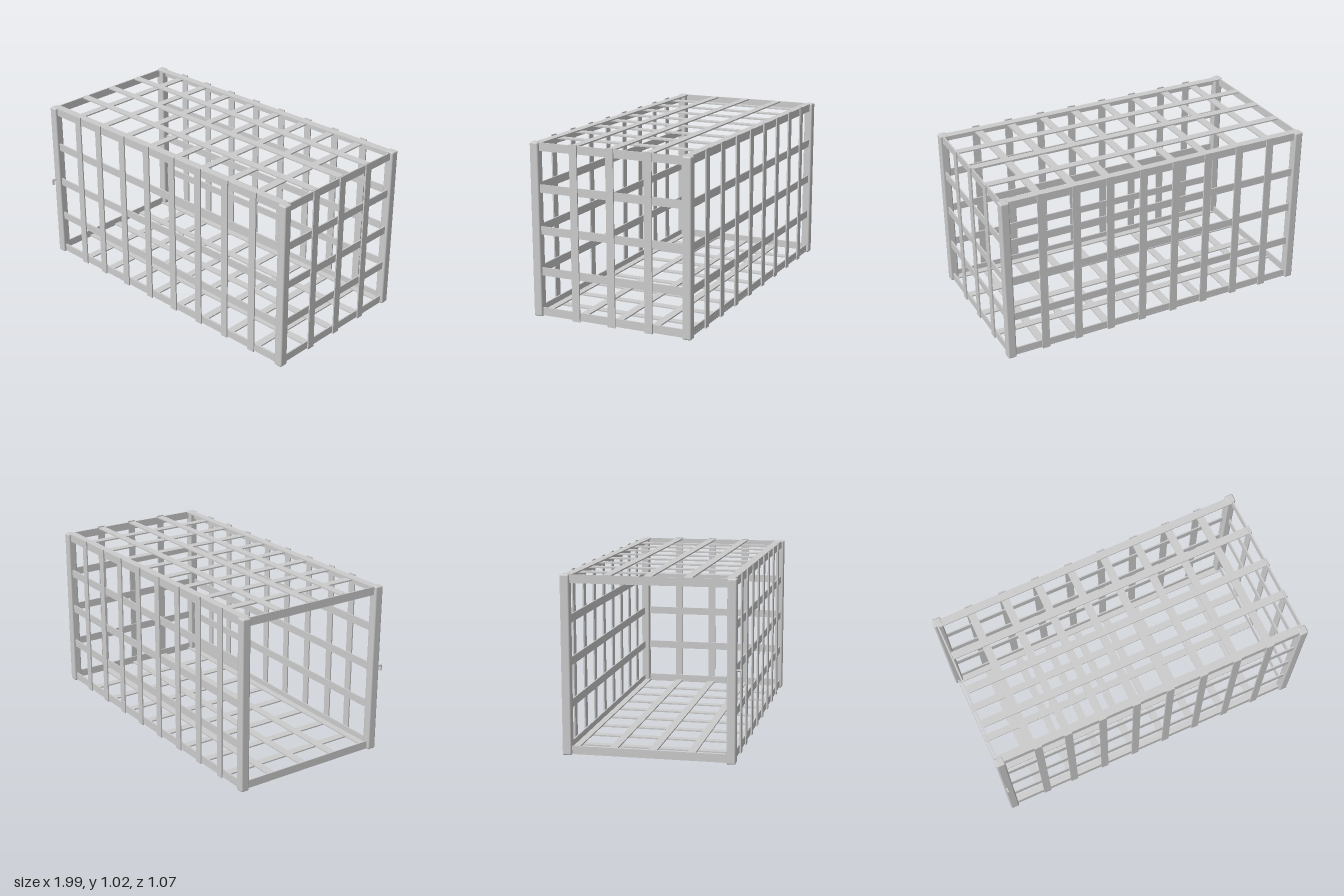
import * as THREE from 'three';
import { RoundedBoxGeometry } from 'three/addons/geometries/RoundedBoxGeometry.js';

const W = 0.047, T = 0.008; // flat bar width and thickness
const UP = new THREE.Vector3(0, 1, 0);
const mat = new THREE.MeshStandardMaterial({ color: 0xcccccc });

// Post centres on the ground (the cage stands slightly turned)
const FL = new THREE.Vector3(-0.968, 0, 0.411);
const FR = new THREE.Vector3(0.925, 0, 0.51);
const BR = new THREE.Vector3(0.967, 0, -0.424);
const BL = new THREE.Vector3(-0.928, 0, -0.509);

const mix = (a, b, f) => a.clone().lerp(b, f);
const at = (p, y) => new THREE.Vector3(p.x, y, p.z);

// Flat bar from p to q whose broad face looks along normal
function bar(group, name, p, q, normal) {
  const dir = q.clone().sub(p);
  const mesh = new THREE.Mesh(new THREE.BoxGeometry(dir.length(), W, T), mat);
  const x = dir.normalize();
  const z = normal.clone().addScaledVector(x, -normal.dot(x)).normalize();
  mesh.quaternion.setFromRotationMatrix(new THREE.Matrix4().makeBasis(x, z.clone().cross(x), z));
  mesh.position.copy(p).add(q).multiplyScalar(0.5);
  mesh.name = name;
  group.add(mesh);
}

// Wall between posts a and b: inner rails, outer uprights
function wall(name, a, b, railHeights, fractions) {
  const g = new THREE.Group();
  g.name = name;
  const n = b.clone().sub(a).normalize().cross(UP);
  const out = (p, d) => p.clone().addScaledVector(n, d);
  for (const y of railHeights) bar(g, 'rail', at(out(a, 0.006), y), at(out(b, 0.006), y), n);
  for (const f of fractions) {
    const p = out(mix(a, b, f), 0.014);
    bar(g, 'upright', at(p, 0.006), at(p, 1.025), n);
  }
  return g;
}

// Horizontal grid: crossbars at one height, long bars at another
function deck(name, yCross, yLong, fractions) {
  const g = new THREE.Group();
  g.name = name;
  for (const f of fractions)
    bar(g, 'crossbar', at(mix(BL, BR, f), yCross), at(mix(FL, FR, f), yCross), UP);
  for (const f of [0.014, 0.25, 0.495, 0.735, 0.984])
    bar(g, 'longBar', at(mix(BL, FL, f), yLong), at(mix(BR, FR, f), yLong), UP);
  return g;
}

export function createModel() {
  const root = new THREE.Group();
  root.name = 'cage';
  const angle = -Math.atan2(BR.z - BL.z, BR.x - BL.x);

  // Corner posts
  for (const p of [FL, FR, BR, BL]) {
    const post = new THREE.Mesh(new RoundedBoxGeometry(0.0525, 1.014, 0.0525, 2, 0.009), mat);
    post.position.copy(at(p, 0.514));
    post.rotation.y = angle;
    post.name = 'cornerPost';
    root.add(post);
  }

  // Walls; the end at -x stays open with only top and bottom rails
  const heights = [0.036, 0.274, 0.515, 0.757, 0.995];
  const eight = Array.from({ length: 8 }, (_, i) => 0.106 + i * 0.1115);
  root.add(wall('backWall', BR, BL, heights, eight.map((f) => 1 - f)));
  root.add(wall('frontWall', FL, FR, heights, [0.12, ...eight.slice(1)]));
  root.add(wall('closedEnd', FR, BR, heights, [0.262, 0.503, 0.75]));
  root.add(wall('openEnd', BL, FL, [heights[0], heights[4]], []));

  // Floor and roof grids
  root.add(deck('floor', 0.014, 0.022, eight));
  root.add(deck('roof', 1.007, 1.015, eight));

  // Small latch on the front left post
  const latch = new THREE.Group();
  latch.name = 'latch';
  const pin = new THREE.Mesh(new THREE.CylinderGeometry(0.006, 0.006, 0.035, 10), mat);
  pin.rotation.x = Math.PI / 2;
  pin.position.set(0, 0.015, 0);
  const tab = new THREE.Mesh(new THREE.BoxGeometry(0.012, 0.035, 0.008), mat);
  tab.position.set(0, 0, 0.014);
  pin.name = 'latchPin';
  tab.name = 'latchTab';
  latch.add(pin, tab);
  latch.position.set(-0.982, 0.512, 0.448);
  root.add(latch);
  return root;
}
